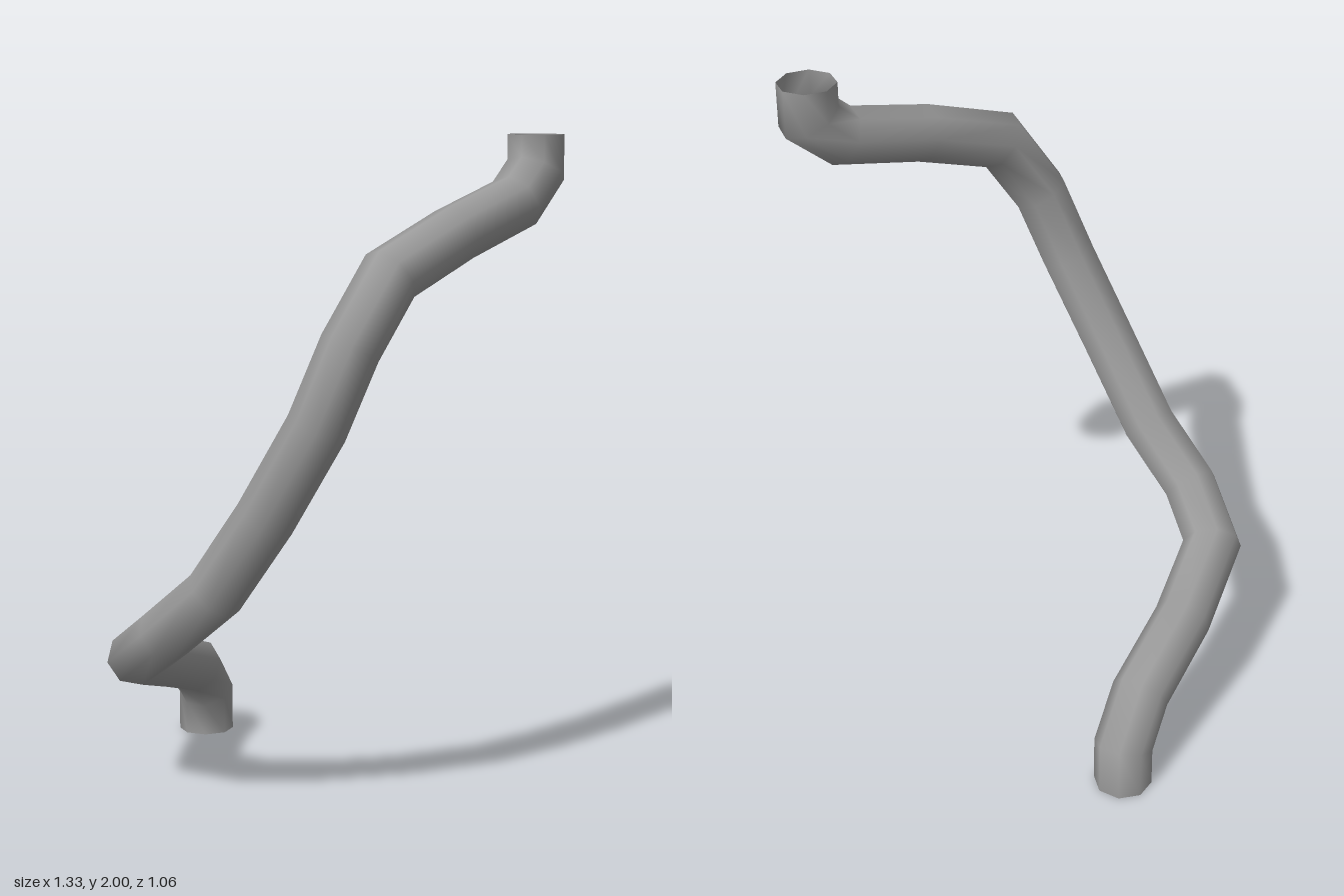
import * as THREE from 'three';

const SIDES = 8;
const RADIUS = 0.089;

// Centre line of the pipe, from the upper mouth down to the lower one
const PATH = [
  [0.577, 2, -0.442], [0.577, 1.893, -0.442], [0.567, 1.798, -0.332],
  [0.532, 1.717, -0.04], [0.487, 1.613, 0.237], [0.43, 1.415, 0.355],
  [0.355, 1.188, 0.411], [0.2, 0.918, 0.444], [0.02, 0.678, 0.444],
  [-0.168, 0.527, 0.441], [-0.338, 0.42, 0.36], [-0.46, 0.335, 0.083],
  [-0.54, 0.247, -0.197], [-0.58, 0.137, -0.313], [-0.58, 0, -0.313],
].map((p) => new THREE.Vector3(...p));

// Straight octagonal runs joined by mitred elbows
function mitredPipe(path) {
  const dirs = path.slice(1).map((p, i) => p.clone().sub(path[i]).normalize());
  let ring = [];
  for (let j = 0; j < SIDES; j++) {
    const a = (j / SIDES) * Math.PI * 2;
    ring.push(new THREE.Vector3(Math.cos(a), 0, Math.sin(a)).multiplyScalar(RADIUS).add(path[0]));
  }
  const positions = [];
  const index = [];
  ring.forEach((p) => positions.push(p.x, p.y, p.z));

  dirs.forEach((dir, i) => {
    // Slide the ring along the run until it meets the next mitre plane
    const end = path[i + 1];
    const normal = dir.clone().add(dirs[i + 1] ?? dir).normalize();
    ring = ring.map((p) => {
      const s = end.clone().sub(p).dot(normal) / dir.dot(normal);
      return p.clone().addScaledVector(dir, s);
    });
    ring.forEach((p) => positions.push(p.x, p.y, p.z));
    for (let j = 0; j < SIDES; j++) {
      const a = i * SIDES + j;
      const b = i * SIDES + ((j + 1) % SIDES);
      index.push(a, b, a + SIDES, b, b + SIDES, a + SIDES);
    }
  });

  const geometry = new THREE.BufferGeometry();
  geometry.setAttribute('position', new THREE.Float32BufferAttribute(positions, 3));
  geometry.setIndex(index);
  geometry.computeVertexNormals();
  return geometry;
}

export function createModel() {
  const group = new THREE.Group();
  group.name = 'bentPipe';

  // Open at both ends, so the inside shows too
  const material = new THREE.MeshStandardMaterial({ color: 0x9a9a9a, side: THREE.DoubleSide });
  const pipe = new THREE.Mesh(mitredPipe(PATH), material);
  pipe.name = 'pipe';
  group.add(pipe);
  return group;
}
